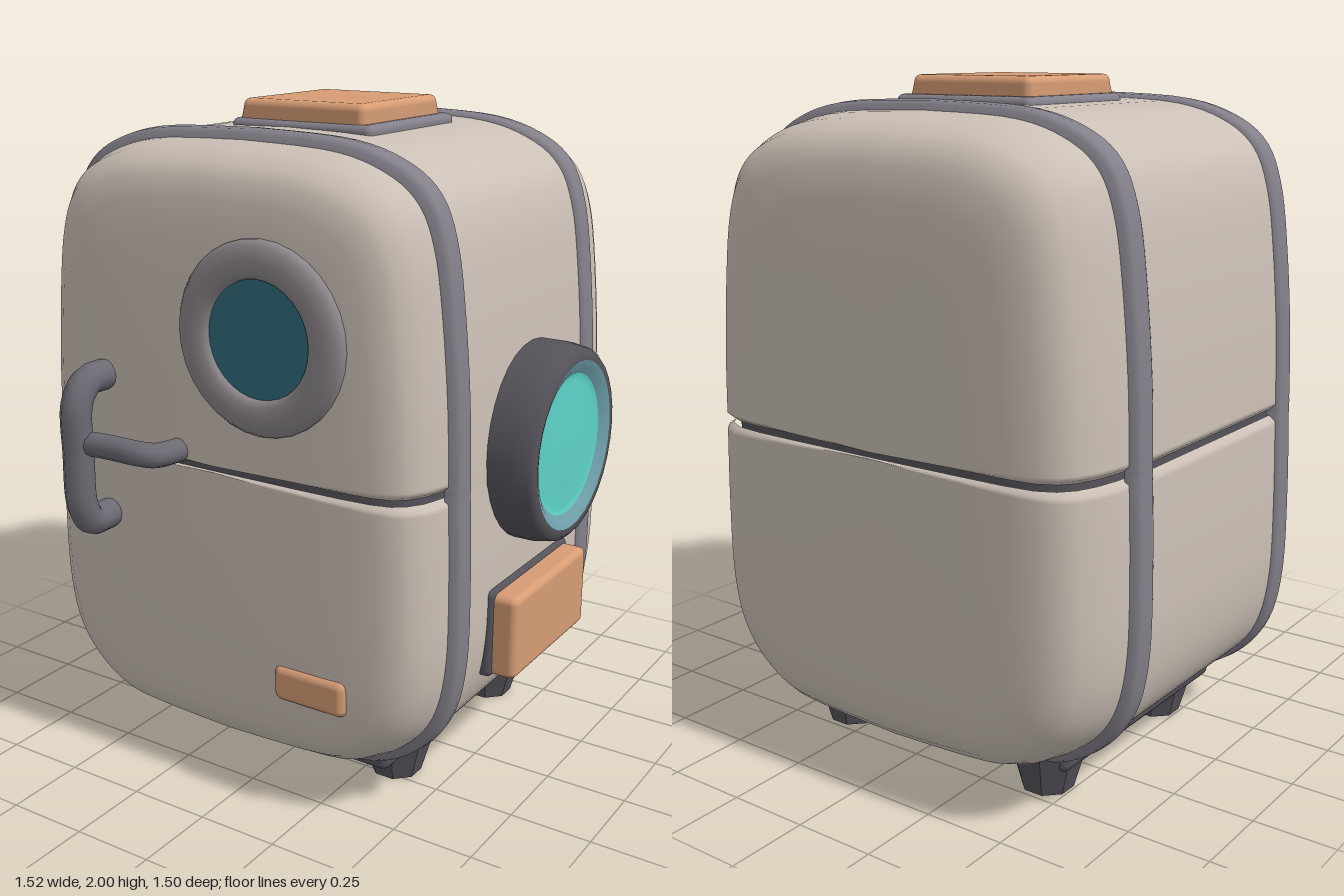
import * as THREE from 'three';
import { RoundedBoxGeometry } from 'three/addons/geometries/RoundedBoxGeometry.js';

const CX = -0.065, SEAM = 1.01;
const V2 = (x, y) => new THREE.Vector2(x, y);
const V3 = (x, y, z) => new THREE.Vector3(x, y, z);

const mat = (name, color, side = THREE.FrontSide) => {
  const m = new THREE.MeshStandardMaterial({ color, side });
  m.name = name;
  return m;
};

// Half-width against distance from the seam, for the upper and lower shell
const UPPER = [[.685, 0], [.677, .24], [.655, .49], [.627, .67], [.575, .79], [.47, .865], [.3, .91], [0, .922]];
const LOWER = [[.685, 0], [.693, .26], [.69, .51], [.655, .68], [.575, .795], [.45, .875], [.3, .9], [0, .912]];

// Lofts one half shell through rings of [z, inset], listed from front to back.
// A lip on a side leaves a narrow rounded groove at the seam.
function loftHalf(profile, s, rings, lipRight, lipLeft) {
  const side = new THREE.SplineCurve(profile.map(p => V2(...p))).getPoints(32);
  const x0 = profile[0][0];
  const withLip = lip => {
    const head = lip ? [V2(x0 * .975, 0), V2(x0, .025)] : [V2(x0, 0), V2(x0, .025)];
    return [...head, ...side.slice(1)].map(p => ({ x: p.x, y: p.y, gap: lip ? .009 : 0 }));
  };
  const right = withLip(lipRight);
  const left = withLip(lipLeft).map(p => ({ ...p, x: -p.x })).reverse().slice(1);
  const pts = [...right, ...left];
  if (s < 0) pts.reverse();
  const n = pts.length, pos = [], idx = [];
  rings.forEach(([z, inset], i) => {
    pts.forEach((p, j) => {
      const end = (j === 0 || j === n - 1) && p.gap > 0;
      pos.push(
        CX + p.x * (1 - inset / .69),
        SEAM + s * Math.max(p.gap, p.y * (1 - inset / .92)),
        z - (end ? Math.sign(z) * .012 : 0));
      if (i < rings.length - 1 && j < n - 1) {
        const a = i * n + j, b = a + n;
        idx.push(a, b, a + 1, b, b + 1, a + 1);
      }
    });
  });
  const g = new THREE.BufferGeometry();
  g.setAttribute('position', new THREE.Float32BufferAttribute(pos, 3));
  g.setIndex(idx);
  g.computeVertexNormals();
  return g;
}

export function createModel() {
  const model = new THREE.Group();
  const shell = mat('warm beige', 0xcbc0b6);
  const trim = mat('trim grey', 0x84808a);
  const dark = mat('dark grey', 0x55535a);
  const handleGrey = mat('handle grey', 0x6c6a73);
  const orange = mat('soft orange', 0xd69c74);
  const teal = mat('dark teal', 0x2f6b7b);
  const cyan = mat('bright cyan', 0x5ed2c8);
  const blueGrey = mat('blue grey', 0x6fa0ab);

  const add = (name, geometry, material, x = 0, y = 0, z = 0, parent = model) => {
    const m = new THREE.Mesh(geometry, material);
    m.name = name;
    m.position.set(x, y, z);
    parent.add(m);
    return m;
  };
  const addShell = (name, rings, material, lipR, lipL) => {
    const g = new THREE.Group();
    g.name = name;
    add(name + 'Upper', loftHalf(UPPER, 1, rings, lipR, lipL), material, 0, 0, 0, g);
    add(name + 'Lower', loftHalf(LOWER, -1, rings, lipR, lipL), material, 0, 0, 0, g);
    model.add(g);
  };

  // Rounded shells: front door, middle body and back panel
  const front = [[.575, .69], [.574, .4], [.571, .25], [.564, .16], [.55, .105], [.525, .07], [.48, .04], [.42, .022], [.34, .012]];
  const back = [[-.44, .012], [-.54, .022], [-.61, .036], [-.67, .06], [-.71, .095], [-.735, .15], [-.745, .24], [-.748, .4], [-.75, .69]];
  const middle = [[.36, .004], [.15, .004], [-.2, .004], [-.46, .004]];
  addShell('frontDoor', front, shell, true, true);
  addShell('middleBody', middle, shell, false, true);
  addShell('backPanel', back, shell, true, true);

  // Dark core showing inside the seam
  const core = [...front, ...back].map(([z, i]) => [z * .96, Math.min(.69, i + .028)]);
  addShell('seamCore', core, dark, false, false);

  // Raised bands around the body
  for (const [name, z] of [['frontBand', .355], ['backBand', -.455]]) {
    const rings = [[.052, .03], [.044, .002], [.028, -.007], [0, -.01], [-.028, -.007], [-.044, .002], [-.052, .03]];
    addShell(name, rings.map(([dz, i]) => [z + dz, i]), trim, false, false);
  }

  // Underside plate and feet
  add('underside', new RoundedBoxGeometry(.92, .07, .84, 2, .025), dark, CX, .115, -.05);
  for (const x of [-.42, .33]) for (const z of [.2, -.41]) {
    const foot = new THREE.CylinderGeometry(.115, .078, .13, 8).rotateY(Math.PI / 8).toNonIndexed();
    foot.computeVertexNormals();
    add('foot', foot, dark, x, .065, z);
    add('footPad', new THREE.CylinderGeometry(.078, .068, .014, 8).rotateY(Math.PI / 8), dark, x, .007, z);
  }

  // Top hatch on a thin surround
  add('hatchSurround', new RoundedBoxGeometry(.48, .06, .48, 3, .02), trim, -.025, 1.915, -.05);
  const hatch = new RoundedBoxGeometry(.435, .1, .445, 3, .022);
  const hp = hatch.attributes.position;
  for (let i = 0; i < hp.count; i++) {
    const k = hp.getY(i) > 0 ? .96 : 1;
    hp.setXYZ(i, hp.getX(i) * k, hp.getY(i), hp.getZ(i) * k);
  }
  add('topHatch', hatch, orange, -.03, 1.95, -.043);

  // Side box
  add('sideBoxSurround', new RoundedBoxGeometry(.06, .275, .515, 3, .02), dark, .61, .522, -.06);
  add('sideBox', new RoundedBoxGeometry(.12, .255, .49, 3, .022), orange, .65, .518, -.06);

  // Front porthole
  const frontPort = new THREE.Group();
  frontPort.name = 'frontPorthole';
  frontPort.position.set(.11, 1.41, 0);
  const rim = [[.275, .5], [.272, .58], [.258, .598], [.22, .606], [.185, .602], [.168, .592], [.162, .57]];
  add('frontRim', new THREE.LatheGeometry(rim.map(p => V2(...p)).reverse(), 32).rotateX(Math.PI / 2),
    mat('rim grey', 0x8c868a, THREE.DoubleSide), 0, 0, 0, frontPort);
  add('frontGlass', new THREE.CircleGeometry(.168, 32), teal, 0, 0, .584, frontPort);
  model.add(frontPort);

  // Side porthole
  const sidePort = new THREE.Group();
  sidePort.name = 'sidePorthole';
  sidePort.position.set(0, 1.045, -.08);
  const collar = [[.295, .56], [.295, .68], [.285, .735], [.27, .75], [.25, .75]];
  const ring = [[.25, .75], [.235, .745], [.21, .73]];
  const lens = [[.21, .73], [.19, .724], [.12, .73], [0, .732]];
  const lathe = pts => new THREE.LatheGeometry(pts.map(p => V2(...p)), 32).rotateZ(-Math.PI / 2);
  add('sideRim', lathe(collar), dark, 0, 0, 0, sidePort);
  add('sideInnerRing', lathe(ring), blueGrey, 0, 0, 0, sidePort);
  add('sideLens', lathe(lens), cyan, 0, 0, 0, sidePort);
  model.add(sidePort);

  // Handle and lever with rounded ends
  const bar = (name, points, r) => {
    const curve = new THREE.CatmullRomCurve3(points.map(p => V3(...p)));
    add(name, new THREE.TubeGeometry(curve, 32, r, 10), handleGrey);
    for (const p of [points[0], points[points.length - 1]])
      add(name + 'End', new THREE.SphereGeometry(r, 10, 8), handleGrey, ...p);
  };
  bar('handle', [[-.455, .8, .59], [-.455, .805, .66], [-.455, .86, .695], [-.455, 1.02, .7], [-.455, 1.17, .695], [-.455, 1.225, .65], [-.455, 1.23, .58]], .046);
  bar('lever', [[-.455, 1.05, .685], [-.35, 1.055, .686], [-.24, 1.055, .684], [-.2, 1.05, .66], [-.185, 1.045, .57]], .036);

  // Small capsule label low on the door
  add('doorLabel', new RoundedBoxGeometry(.24, .11, .05, 5, .024), orange, .26, .405, .56);

  return model;
}
